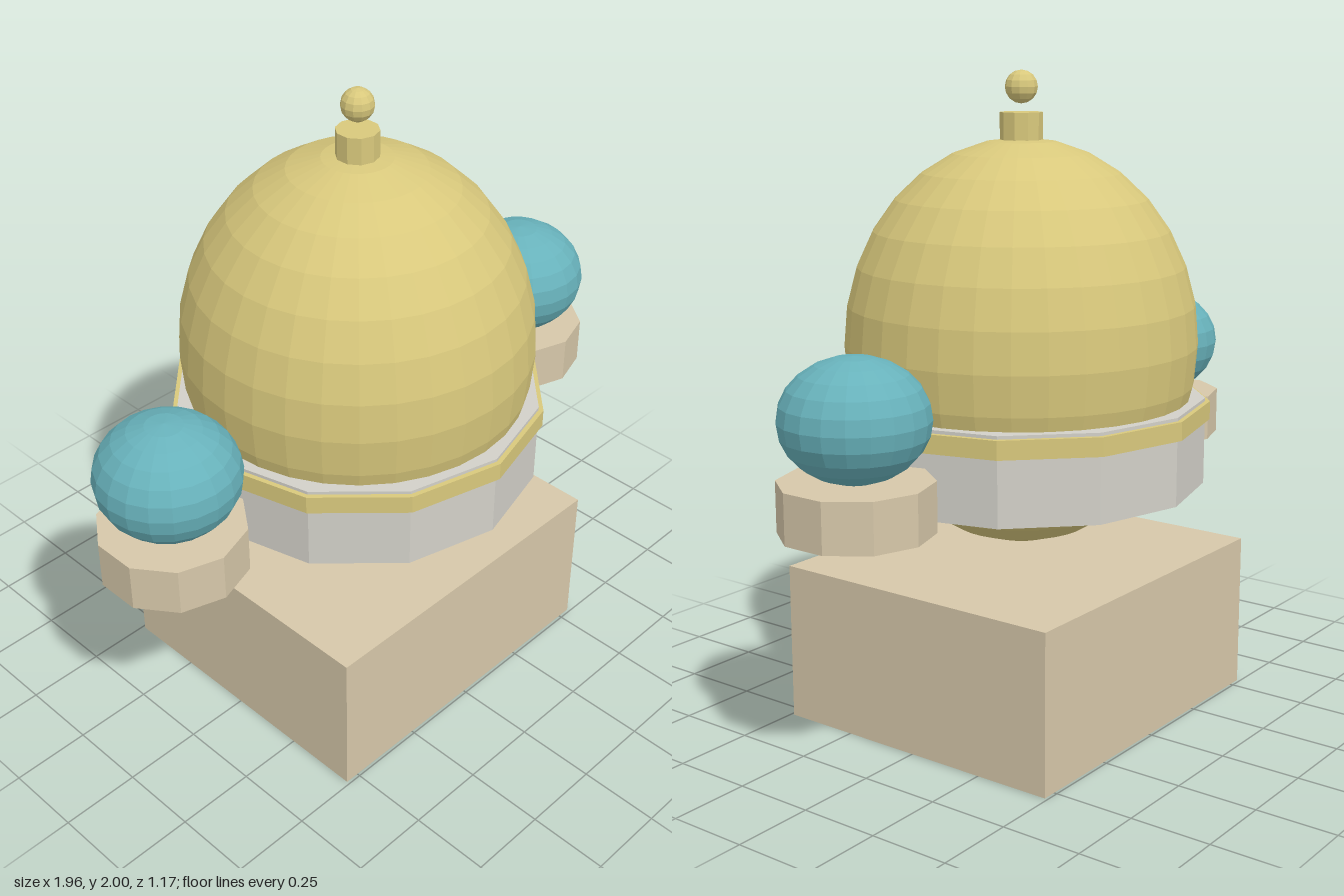
import * as THREE from 'three';

const paint = (name, color) => {
  const m = new THREE.MeshStandardMaterial({ color, flatShading: true });
  m.name = name;
  return m;
};

export function createModel() {
  const model = new THREE.Group();
  model.name = 'domedOrnament';
  const gold = paint('gold', 0xd8c87c);
  const sand = paint('sand', 0xd6c7a9);
  const stone = paint('stone', 0xd2d0c8);
  const teal = paint('teal', 0x68b2bb);

  const add = (name, geometry, material, x, y) => {
    const mesh = new THREE.Mesh(geometry, material);
    mesh.name = name;
    mesh.position.set(x, y, 0);
    model.add(mesh);
    return mesh;
  };
  // Upright faceted drum between two heights
  const drum = (name, r, y0, y1, sides, material, x = 0) =>
    add(name, new THREE.CylinderGeometry(r, r, y1 - y0, sides), material, x, (y0 + y1) / 2);
  // Faceted ball, stretched or squashed vertically
  const ball = (name, r, ry, y, cols, rows, material, x = 0) =>
    add(name, new THREE.SphereGeometry(r, cols, rows).scale(1, ry / r, 1), material, x, y);

  // Block base
  add('base', new THREE.BoxGeometry(1.09, 0.493, 0.98), sand, 0, 0.2465);

  // Egg-shaped dome with its collar and trim band
  ball('dome', 0.545, 0.625, 1.175, 32, 16, gold);
  drum('collar', 0.57, 0.74, 1.01, 12, stone);
  drum('trimBand', 0.585, 0.943, 1.0, 12, gold);

  // Finial
  drum('finialStem', 0.065, 1.785, 1.875, 10, gold);
  ball('finialBall', 0.05, 0.05, 1.95, 12, 8, gold);

  // Side pads carrying squashed balls
  for (const [side, s] of [['left', 1], ['right', -1]]) {
    drum(side + 'Pad', 0.225, 0.745, 0.895, 10, sand, s * 0.765);
    ball(side + 'Ball', 0.217, 0.18, 1.068, 20, 12, teal, s * 0.765);
  }
  return model;
}
